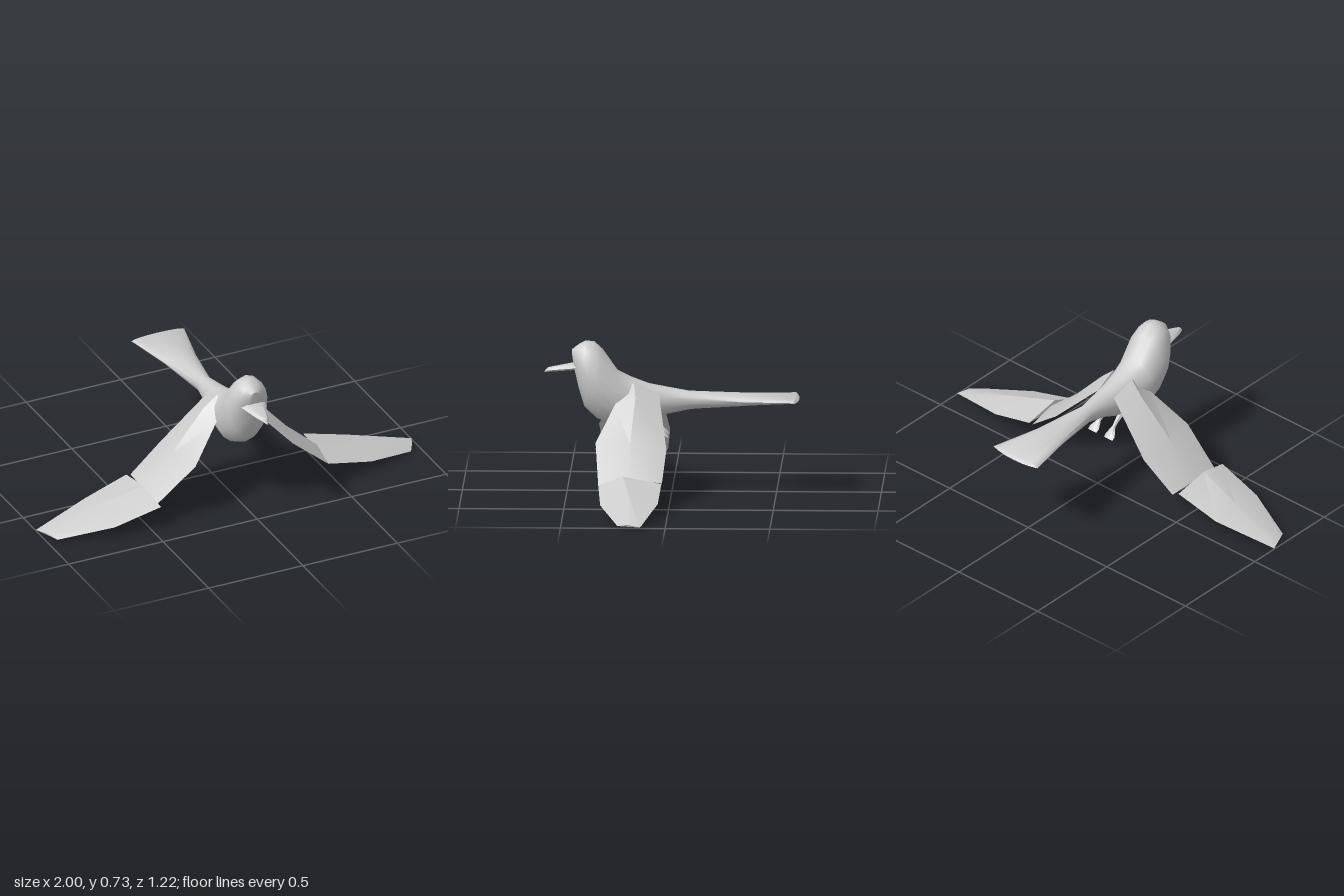
import * as THREE from 'three';
import { toCreasedNormals } from 'three/addons/utils/BufferGeometryUtils.js';

const plumage = new THREE.MeshStandardMaterial({ color: 0xcccccc });
plumage.name = 'pale grey';

// Skin a list of equal-length rings of [x, y, z] points into a closed solid
function loft(name, rings, crease = 0.9) {
  const n = rings[0].length;
  const points = rings.flat().map((p) => new THREE.Vector3(...p));
  const triangles = [];
  for (let i = 0; i < rings.length - 1; i++) {
    for (let j = 0; j < n; j++) {
      const a = i * n + j, b = i * n + (j + 1) % n;
      triangles.push([a, b, b + n], [a, b + n, a + n]);
    }
  }
  const last = (rings.length - 1) * n;
  for (let j = 1; j < n - 1; j++) {
    triangles.push([0, j + 1, j], [last, last + j, last + j + 1]);
  }
  // A negative enclosed volume means the faces point inwards
  const cross = new THREE.Vector3();
  const volume = triangles.reduce((sum, [a, b, c]) =>
    sum + points[a].dot(cross.crossVectors(points[b], points[c])), 0);
  if (volume < 0) triangles.forEach((t) => t.reverse());

  const geometry = new THREE.BufferGeometry().setFromPoints(points);
  geometry.setIndex(triangles.flat());
  const mesh = new THREE.Mesh(toCreasedNormals(geometry, crease), plumage);
  mesh.name = name;
  return mesh;
}

// Elliptical section between a top and a bottom point; bow pulls the sides forward
function oval([topZ, topY, bottomZ, bottomY, halfWidth, bow = 0], sides = 16) {
  return Array.from({ length: sides }, (_, i) => {
    const angle = (i / sides) * Math.PI * 2;
    const t = (1 - Math.cos(angle)) / 2, s = Math.sin(angle);
    return [
      s * halfWidth,
      THREE.MathUtils.lerp(topY, bottomY, t),
      THREE.MathUtils.lerp(topZ, bottomZ, t) + bow * s * s,
    ];
  });
}

// Thin cambered wing section: leading edge, crown, trailing edge, underside
function wingSection([lead, crown, trail]) {
  const under = crown.map((v, i) => (lead[i] + trail[i]) / 2 * 0.75 + v * 0.25);
  return [lead, crown, trail, under];
}

function wingPart(name, sections, side) {
  const rings = sections.map((s) =>
    wingSection(s).map(([x, y, z]) => [x * side, y, z]));
  return loft(name, rings, 0.5);
}

export function createModel() {
  const bird = new THREE.Group();
  bird.name = 'bird';

  // Head, breast, back and fanned tail: topZ, topY, bottomZ, bottomY, halfWidth
  bird.add(loft('body', [
    [0.478, 0.685, 0.468, 0.61, 0.03],
    [0.445, 0.712, 0.462, 0.575, 0.065],
    [0.41, 0.73, 0.445, 0.5, 0.088],
    [0.37, 0.726, 0.418, 0.41, 0.102],
    [0.33, 0.69, 0.36, 0.355, 0.113],
    [0.26, 0.59, 0.29, 0.322, 0.106],
    [0.19, 0.555, 0.2, 0.32, 0.09],
    [0.11, 0.525, 0.1, 0.345, 0.072],
    [0.02, 0.508, 0.03, 0.375, 0.055],
    [-0.08, 0.49, -0.09, 0.4, 0.038],
    [-0.35, 0.478, -0.35, 0.42, 0.085],
    [-0.59, 0.47, -0.59, 0.442, 0.14],
    [-0.609, 0.458, -0.609, 0.45, 0.142, 0.02],
  ].map((s) => oval(s))));

  // Broad, pointed beak: z, halfWidth, ridge, side and keel heights
  bird.add(loft('beak', [
    [0.41, 0.078, 0.63, 0.607, 0.59],
    [0.47, 0.058, 0.62, 0.603, 0.585],
    [0.55, 0.033, 0.607, 0.592, 0.579],
    [0.592, 0.014, 0.599, 0.585, 0.576],
    [0.608, 0.003, 0.58, 0.577, 0.574],
  ].map(([z, w, ridge, edge, keel]) => [
    [-w * 0.65, ridge - 0.003, z], [0, ridge, z], [w * 0.65, ridge - 0.003, z],
    [w, edge, z], [0, keel, z], [-w, edge, z],
  ]), 0.6));

  // Inner wings are mirrored
  const innerWing = [
    [[0.05, 0.5, 0.23], [0.06, 0.535, 0.18], [0.05, 0.485, 0.06]],
    [[0.11, 0.435, 0.27], [0.125, 0.475, 0.17], [0.08, 0.455, 0.055]],
    [[0.258, 0.28, 0.356], [0.3, 0.285, 0.19], [0.28, 0.252, 0.017]],
    [[0.455, 0.11, 0.337], [0.465, 0.14, 0.19], [0.447, 0.12, 0.033]],
  ];
  bird.add(wingPart('leftInnerWing', innerWing, 1));
  bird.add(wingPart('rightInnerWing', innerWing, -1));

  // Outer wings are swept slightly differently
  bird.add(wingPart('leftOuterWing', [
    [[0.457, 0.11, 0.337], [0.467, 0.156, 0.22], [0.467, 0.12, 0.035]],
    [[0.69, 0.056, 0.32], [0.7, 0.096, 0.18], [0.69, 0.064, 0.045]],
    [[0.945, 0.003, 0.23], [0.975, 0.015, 0.18], [1, 0.006, 0.12]],
  ], 1));
  bird.add(wingPart('rightOuterWing', [
    [[0.455, 0.122, 0.385], [0.475, 0.166, 0.23], [0.475, 0.132, 0.045]],
    [[0.69, 0.058, 0.365], [0.7, 0.098, 0.2], [0.7, 0.066, 0.06]],
    [[0.945, 0.002, 0.265], [0.975, 0.015, 0.21], [1, 0.006, 0.14]],
  ], -1));

  // Legs trail backwards and flare into flat feet: x, y, z, halfWidth, halfDepth
  const legSections = [
    [0.04, 0.365, 0.13, 0.018, 0.016],
    [0.043, 0.335, 0.09, 0.011, 0.011],
    [0.046, 0.312, 0.062, 0.009, 0.009],
  ];
  const footSections = [
    [0.046, 0.314, 0.064, 0.01, 0.01],
    [0.05, 0.285, 0.034, 0.028, 0.01],
    [0.051, 0.272, 0.018, 0.026, 0.006],
  ];
  const limb = (name, sections, side) => loft(name, sections.map(([x, y, z, w, d]) =>
    Array.from({ length: 6 }, (_, i) => {
      const a = (i / 6) * Math.PI * 2;
      return [side * (x + Math.cos(a) * w), y + Math.sin(a) * d * 0.7, z - Math.sin(a) * d * 0.7];
    })));
  for (const [label, side] of [['left', 1], ['right', -1]]) {
    bird.add(limb(label + 'Leg', legSections, side), limb(label + 'Foot', footSections, side));
  }

  return bird;
}
